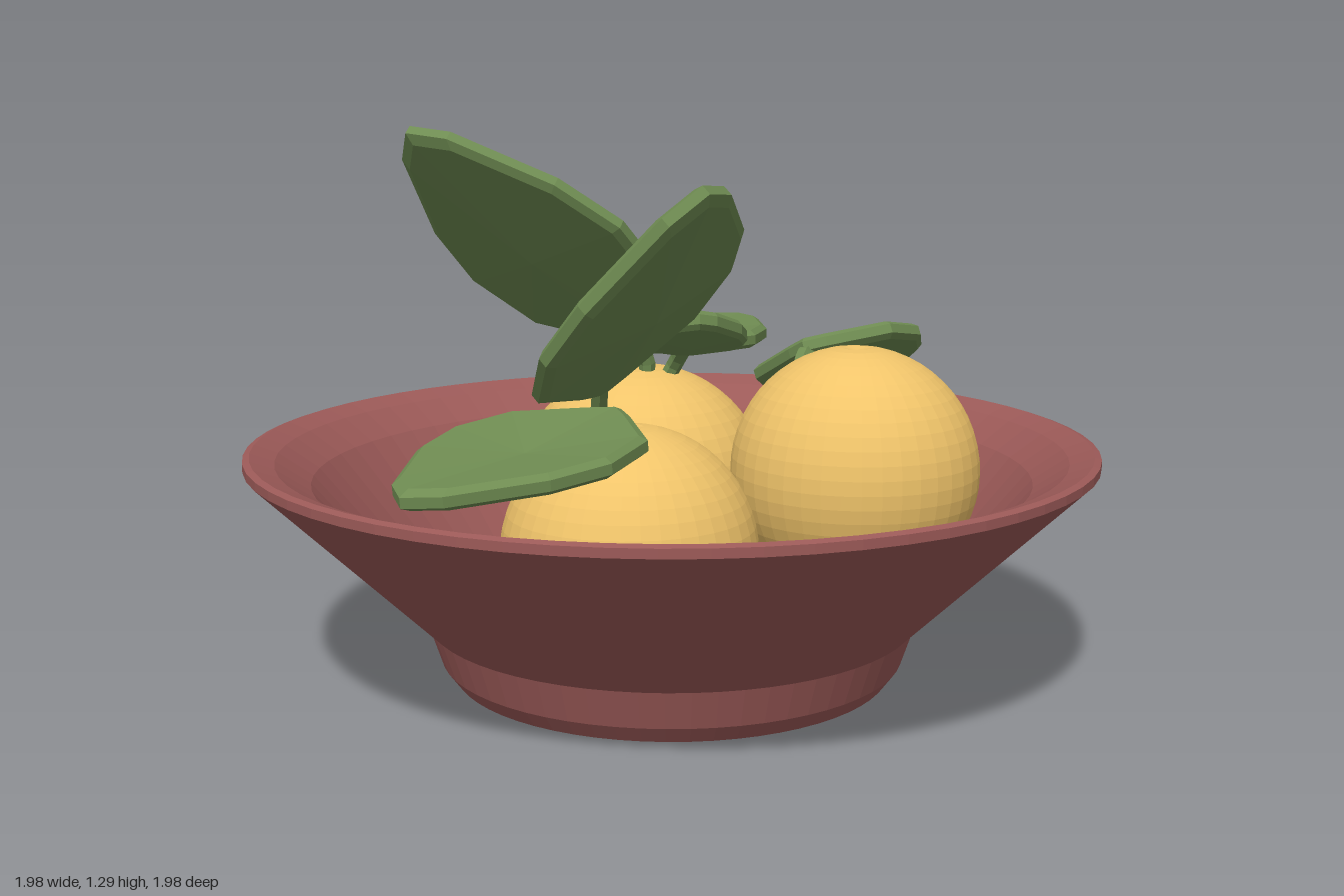
import * as THREE from 'three';

const V = (a) => new THREE.Vector3(...a);
const paint = (color) => new THREE.MeshStandardMaterial({ color, flatShading: true, roughness: 0.9 });

// Half outline of a leaf: [distance along, half width], both per unit length
const HALF = [[0.05, 0.08], [0.22, 0.3], [0.45, 0.35], [0.66, 0.29], [0.93, 0.11]];

// Thick leaf along +z, lightly cupped, with a bevelled rim
function leafGeometry(length, t) {
  const loop = [[0, 0], ...HALF.map(([u, w]) => [-w, u]), [0, 1],
    ...HALF.slice().reverse().map(([u, w]) => [w, u])];
  const cup = 0.035 * length;
  const rings = [[0, -t / 2 - cup], [0.93, -t / 2], [1, -t / 4], [1, t / 4], [0.93, t / 2], [0, t / 2 - cup]];
  const n = loop.length, pos = [], index = [];
  rings.forEach(([s, y]) => loop.forEach(([w, u]) =>
    pos.push(w * s * length, y, (0.47 + (u - 0.47) * s) * length)));
  for (let r = 0; r < rings.length - 1; r++) {
    for (let i = 0; i < n; i++) {
      const j = (i + 1) % n, a = r * n + i, b = r * n + j, c = b + n, d = a + n;
      if (r > 0) index.push(a, b, c);
      if (r < rings.length - 2) index.push(a, c, d);
    }
  }
  const g = new THREE.BufferGeometry();
  g.setAttribute('position', new THREE.Float32BufferAttribute(pos, 3));
  g.setIndex(index);
  const flat = g.toNonIndexed();
  flat.computeVertexNormals();
  return flat;
}

// Leaf from base to tip with its upper side facing up, plus a stem to root
function makeLeaf(name, { base, tip, up, root }, material) {
  const group = new THREE.Group();
  group.name = name;
  const from = V(base), along = V(tip).sub(from), length = along.length();
  along.normalize();
  const side = V(up).cross(along).normalize();
  const normal = along.clone().cross(side);
  const blade = new THREE.Mesh(leafGeometry(length, 0.045), material);
  blade.name = 'leafBlade';
  blade.quaternion.setFromRotationMatrix(new THREE.Matrix4().makeBasis(side, normal, along));
  blade.position.copy(from);

  const end = from.clone().addScaledVector(along, 0.05);
  const path = new THREE.CatmullRomCurve3([V(root), V(root).lerp(from, 0.6), end]);
  const stem = new THREE.Mesh(new THREE.TubeGeometry(path, 5, 0.02, 6), material);
  stem.name = 'leafStem';
  group.add(blade, stem);
  return group;
}

// Round fruit with a small dimple at the top
function makeFruit(name, center, radius, material) {
  const g = new THREE.SphereGeometry(radius, 40, 28);
  const p = g.attributes.position;
  for (let i = 0; i < p.count; i++) {
    const d = Math.hypot(p.getX(i), p.getZ(i)) / radius;
    if (p.getY(i) > 0 && d < 0.14) p.setY(i, p.getY(i) - radius * 0.25 * (0.14 - d));
  }
  g.computeVertexNormals();
  const mesh = new THREE.Mesh(g, material);
  mesh.name = name;
  mesh.position.set(...center);
  return mesh;
}

export function createModel() {
  const model = new THREE.Group();
  model.name = 'fruitBowl';
  const clay = paint(0x9c5a58), yellow = paint(0xf0c46a), green = paint(0x6f8c52);

  // Bowl: foot, flared wall, rim, then the inside down to the floor
  const profile = [[0, 0], [0.52, 0], [0.55, 0.04], [0.58, 0.13], [0.99, 0.53], [0.99, 0.55],
    [0.975, 0.555], [0.92, 0.535], [0.84, 0.48], [0.53, 0.11], [0, 0.1]];
  const bowl = new THREE.Mesh(
    new THREE.LatheGeometry(profile.map(([x, y]) => new THREE.Vector2(x, y)), 64), clay);
  bowl.name = 'bowl';
  model.add(bowl);

  // Fruit
  model.add(
    makeFruit('leftFruit', [0.4, 0.495, -0.16], 0.29, yellow),
    makeFruit('rightFruit', [-0.2, 0.37, -0.2], 0.32, yellow),
    makeFruit('frontFruit', [0.05, 0.35, 0.28], 0.29, yellow));

  // Leaves
  const leaves = {
    backRightLeaf: { base: [-0.24, 0.74, -0.16], tip: [-0.23, 0.73, -0.81], up: [0, 1, 0], root: [-0.23, 0.64, -0.16] },
    backLeftLeaf: { base: [0.25, 0.77, -0.19], tip: [0.2, 0.63, -0.78], up: [-0.39, 0.9, -0.2], root: [0.27, 0.7, -0.13] },
    tallRightLeaf: { base: [-0.16, 0.75, -0.16], tip: [-0.48, 1.28, 0.36], up: [0, 0.69, -0.72], root: [-0.17, 0.64, -0.17] },
    tallLeftLeaf: { base: [0.01, 0.72, 0.36], tip: [0.47, 1.19, 0.7], up: [-0.7, 0.7, 0], root: [0.02, 0.6, 0.32] },
    frontLeaf: { base: [0.08, 0.68, 0.36], tip: [-0.03, 0.6, 0.99], up: [0, 1, 0.14], root: [0.08, 0.6, 0.32] },
    smallLeaf: { base: [-0.08, 0.74, -0.2], tip: [0.13, 0.86, 0.1], up: [-0.2, 0.95, -0.3], root: [-0.14, 0.64, -0.2] },
  };
  for (const [name, spec] of Object.entries(leaves)) model.add(makeLeaf(name, spec, green));
  return model;
}
